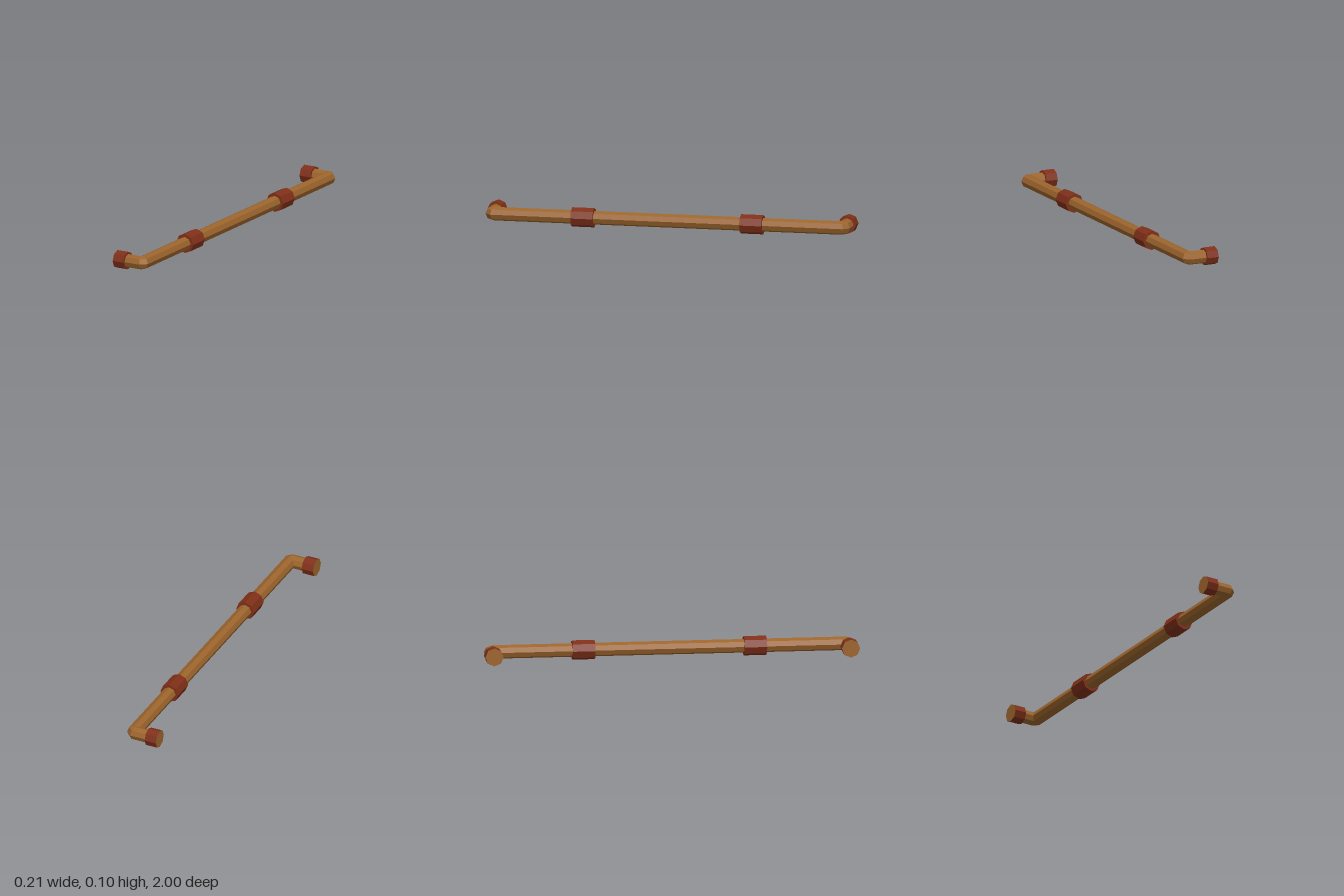
import * as THREE from 'three';

const SIDES = 8;
const AXIS_Y = 0.052;   // height of the pipe's centre line
const RAIL_X = 0.051;   // x of the long run
const LEG_Z = 0.9515;   // z of the short end legs

const wood = new THREE.MeshStandardMaterial({ color: 0x9c642c, flatShading: true });
const band = new THREE.MeshStandardMaterial({ color: 0x7f2f18, flatShading: true });

// Octagonal tube swept along flat [x, z] points, with mitred rings at the bends
function sweepPipe(path, radius) {
  const pts = path.map(([x, z]) => new THREE.Vector2(x, z));
  const rings = pts.map((p, i) => {
    const before = p.clone().sub(pts[Math.max(i - 1, 0)]).normalize();
    const after = pts[Math.min(i + 1, pts.length - 1)].clone().sub(p).normalize();
    const dir = before.clone().add(after).normalize();
    const stretch = 1 / dir.dot(i ? before : after);
    const ring = [];
    for (let j = 0; j <= SIDES; j++) {
      const a = (j / SIDES) * Math.PI * 2;
      const out = Math.cos(a) * radius * stretch;
      ring.push([p.x - dir.y * out, AXIS_Y + Math.sin(a) * radius, p.y + dir.x * out]);
    }
    return ring;
  });

  const positions = [];
  for (let i = 0; i < rings.length - 1; i++) {
    for (let j = 0; j < SIDES; j++) {
      const a = rings[i][j], b = rings[i + 1][j], c = rings[i + 1][j + 1], d = rings[i][j + 1];
      positions.push(...a, ...b, ...c, ...a, ...c, ...d);
    }
  }
  const geometry = new THREE.BufferGeometry();
  geometry.setAttribute('position', new THREE.Float32BufferAttribute(positions, 3));
  geometry.computeVertexNormals();
  return geometry;
}

export function createModel() {
  const group = new THREE.Group();
  const add = (name, geometry, material, x = 0, y = 0, z = 0) => {
    const mesh = new THREE.Mesh(geometry, material);
    mesh.name = name;
    mesh.position.set(x, y, z);
    group.add(mesh);
  };

  // Long pipe with a chamfered elbow and a short leg at each end
  const bend = 0.011;
  const half = [[-0.1, LEG_Z], [RAIL_X - bend, LEG_Z], [RAIL_X, LEG_Z - bend]];
  const path = [...half, ...half.map(([x, z]) => [x, -z]).reverse()];
  add('pipe', sweepPipe(path, 0.0365), wood);

  // Collars along the run, and end collars whose open face shows the pipe colour
  const railCollar = new THREE.CylinderGeometry(0.052, 0.052, 0.12, SIDES).rotateX(Math.PI / 2);
  const endCollar = new THREE.CylinderGeometry(0.0485, 0.0485, 0.066, SIDES).rotateZ(Math.PI / 2);
  for (const [side, s] of [['front', 1], ['back', -1]]) {
    add(`${side}RailCollar`, railCollar, band, RAIL_X, AXIS_Y, s * 0.458);
    add(`${side}EndCollar`, endCollar, [band, wood, band], -0.07, AXIS_Y, s * LEG_Z);
  }
  return group;
}
